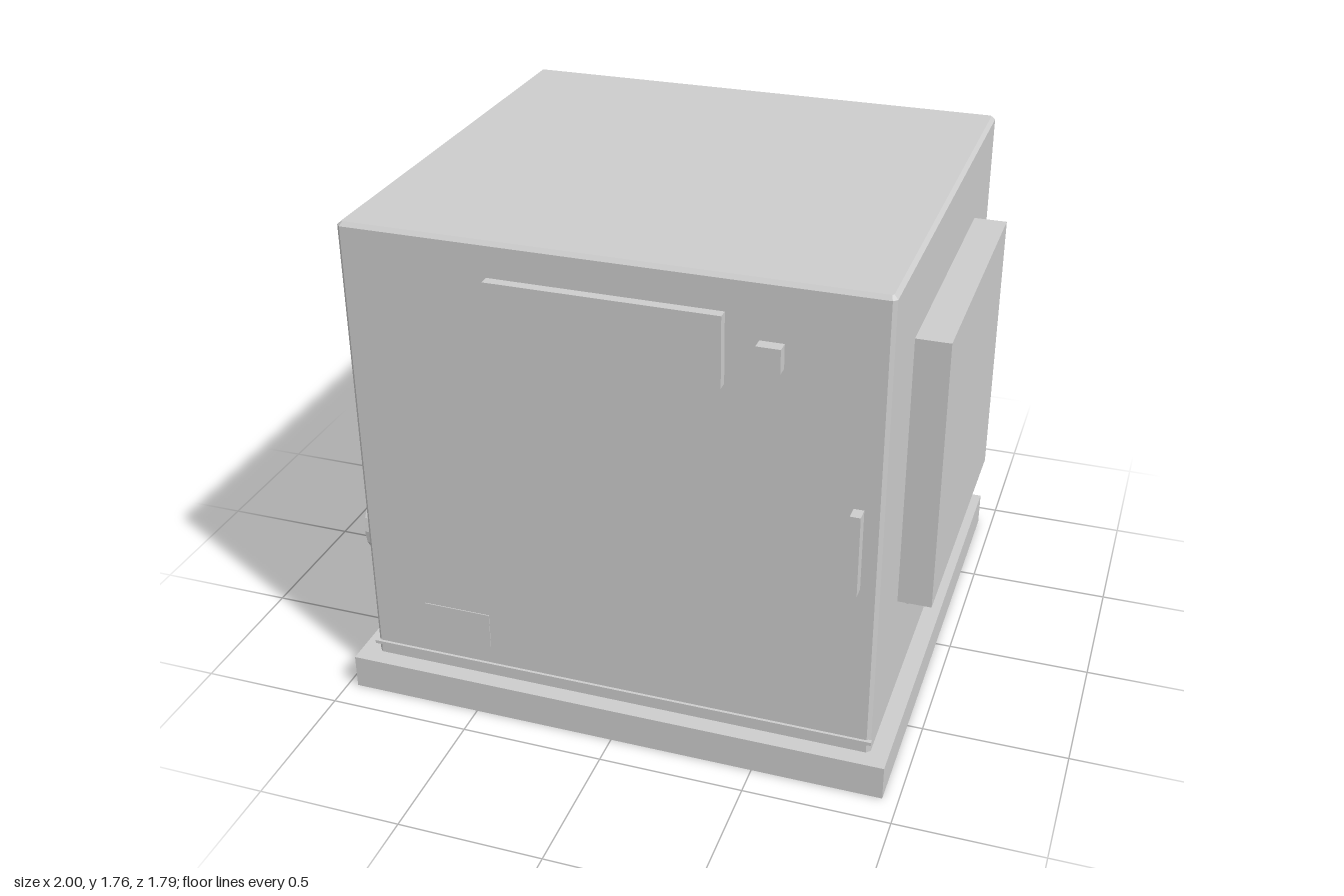
import * as THREE from 'three';

export function createModel() {
  const model = new THREE.Group();
  model.name = 'applianceCabinet';
  const grey = new THREE.MeshStandardMaterial({ color: 0xcccccc });
  grey.name = 'light grey';

  const add = (name, geometry) => {
    const mesh = new THREE.Mesh(geometry, grey);
    mesh.name = name;
    model.add(mesh);
    return mesh;
  };
  // Box given by its limits along each axis
  const box = (name, [x0, x1], [y0, y1], [z0, z1]) => {
    const mesh = add(name, new THREE.BoxGeometry(x1 - x0, y1 - y0, z1 - z0));
    mesh.position.set((x0 + x1) / 2, (y0 + y1) / 2, (z0 + z1) / 2);
    return mesh;
  };

  const left = 0.885, right = -0.9, front = 0.831, c = 0.013;

  // Plinth
  box('base', [-0.965, 0.947], [0, 0.123], [-0.893, 0.893]);

  // Cabinet with chamfered corners and top edge
  const hw = (left - right) / 2, hd = front;
  const outline = new THREE.Shape([
    [hw - c, -hd], [hw, -hd + c], [hw, hd - c], [hw - c, hd],
    [-hw + c, hd], [-hw, hd - c], [-hw, -hd + c], [-hw + c, -hd],
  ].map(([x, y]) => new THREE.Vector2(x, y)));
  const y0 = 0.1, y1 = 1.765;
  const bodyGeometry = new THREE.ExtrudeGeometry(outline, {
    depth: y1 - y0 - 2 * c, bevelEnabled: true, bevelSegments: 1,
    bevelThickness: c, bevelSize: c, bevelOffset: -c,
  });
  bodyGeometry.rotateX(-Math.PI / 2);
  add('body', bodyGeometry).position.set((left + right) / 2, y0 + c, 0);

  // Front details
  box('displayPanel', [-0.393, 0.374], [1.406, 1.646], [front, 0.866]);
  box('button', [0.481, 0.559], [1.486, 1.568], [front, 0.873]);
  box('doorHandle', [0.789, 0.823], [0.758, 1.045], [front, 0.878]);
  box('ratingPlate', [-0.7, -0.46], [0.237, 0.373], [front - 0.002, front + 0.003]);
  box('doorSeam', [-0.906, 0.889], [0.162, 0.174], [front - 0.005, 0.841]);

  // Left side: raised housing and two vent slats
  box('sideHousing', [left, 1], [0.514, 1.487], [-0.511, 0.511]);
  for (const y of [0.473, 0.397]) {
    box('ventSlat', [left - 0.005, 0.893], [y - 0.01, y + 0.01], [-0.5, 0.335]);
  }

  // Right side: five rails, two thin plates and two round knobs
  for (let i = 0; i < 5; i++) {
    const y = 1.411 - i * 0.2225;
    box('sideRail', [-0.93, right], [y - 0.024, y + 0.024], [-0.634, 0.624]);
  }
  box('upperPlate', [-0.908, right], [1.352, 1.468], [-0.4, 0]);
  box('lowerPlate', [-0.908, right], [0.357, 0.49], [-0.4, 0]);
  for (const z of [-0.553, 0.546]) {
    const geometry = new THREE.CylinderGeometry(0.132, 0.132, 0.1, 16).toNonIndexed();
    geometry.computeVertexNormals(); // flat facets
    geometry.rotateZ(Math.PI / 2);
    add('sideKnob', geometry).position.set(-0.95, 0.512, z);
  }

  return model;
}
